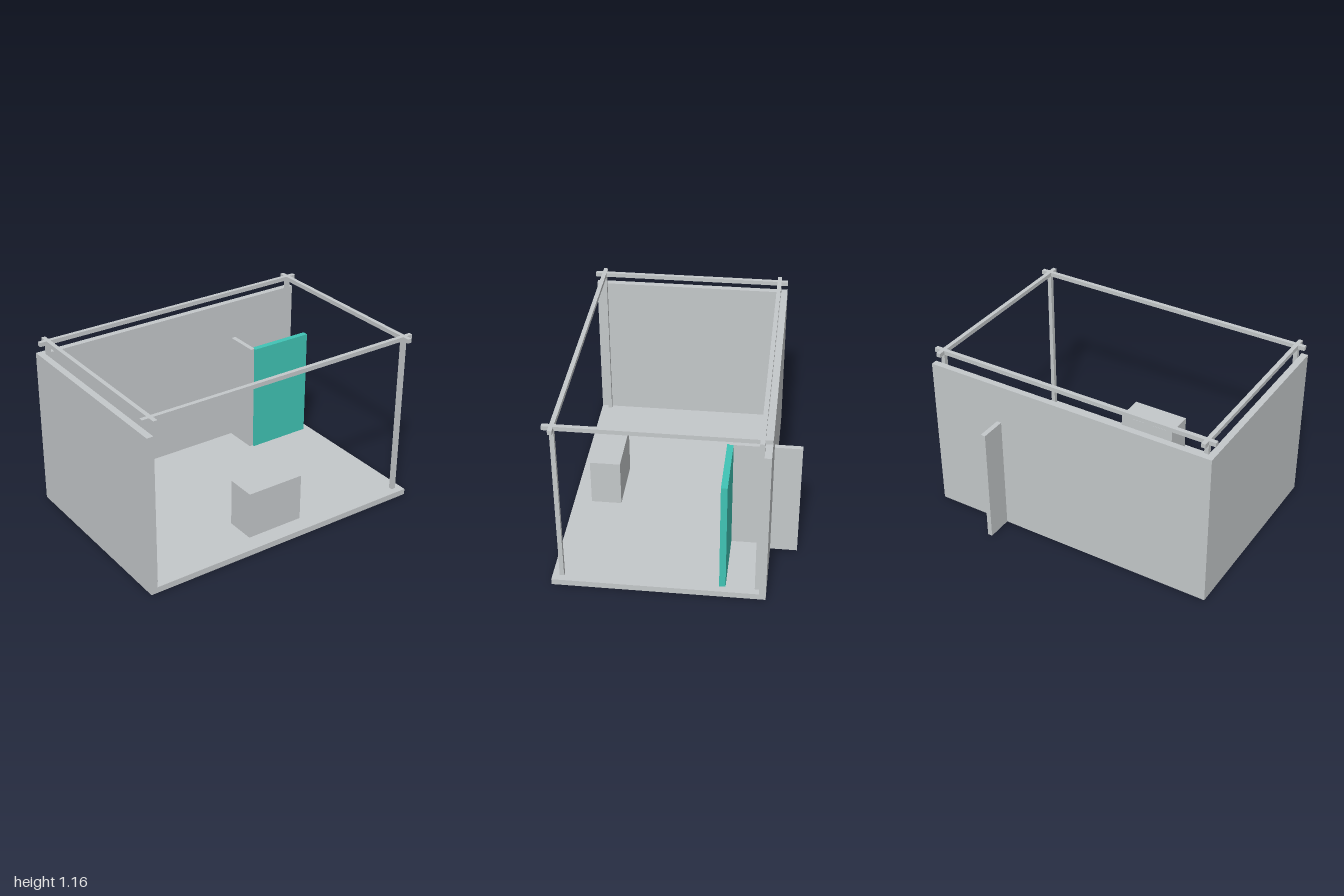
import * as THREE from 'three';

export function createModel() {
  const group = new THREE.Group();
  const grey = new THREE.MeshStandardMaterial({ color: 0xc4c8ca });
  grey.name = 'light grey';
  const teal = new THREE.MeshStandardMaterial({ color: 0x40c4b5 });
  teal.name = 'teal';

  // Box given by its [min, max] range on each axis
  function block(name, [x0, x1], [y0, y1], [z0, z1], material = grey) {
    const mesh = new THREE.Mesh(new THREE.BoxGeometry(x1 - x0, y1 - y0, z1 - z0), material);
    mesh.position.set((x0 + x1) / 2, (y0 + y1) / 2, (z0 + z1) / 2);
    mesh.name = name;
    group.add(mesh);
  }
  const around = (centre, width) => [centre - width / 2, centre + width / 2];

  const width = [-1, 1], depth = [-0.582, 0.75];
  const floorTop = 0.04, wallTop = 1.07, beamBottom = 1.137, beamTop = 1.165, bar = 0.028;

  // Floor and the two walls
  block('floor', [-0.956, 1], [0, floorTop], [-0.539, 0.75]);
  block('backWall', width, [0, wallTop], [depth[0], -0.539]);
  block('sideWall', [-1, -0.956], [0, wallTop], [-0.539, 0.75]);

  // Canopy frame: beams crossing at the corners, posts below each crossing
  const xs = [-0.941, 0.941], zs = [-0.525, 0.691];
  for (const z of zs) block('longBeam', width, [beamBottom, beamTop], around(z, bar));
  for (const x of xs) {
    block('crossBeam', around(x, bar), [beamBottom, beamTop], depth);
    for (const z of zs) block('post', around(x, bar), [floorTop, beamBottom], around(z, bar));
  }

  // Counter, fin through the back wall, and coloured panel
  block('counter', [-0.2, 0.2], [floorTop, 0.36], [0.433, 0.633]);
  block('finPanel', [0.48, 0.512], [0, 0.8], [-0.755, -0.306]);
  block('colouredPanel', [0.506, 0.952], [0, 0.8], [-0.331, -0.291], teal);

  return group;
}
